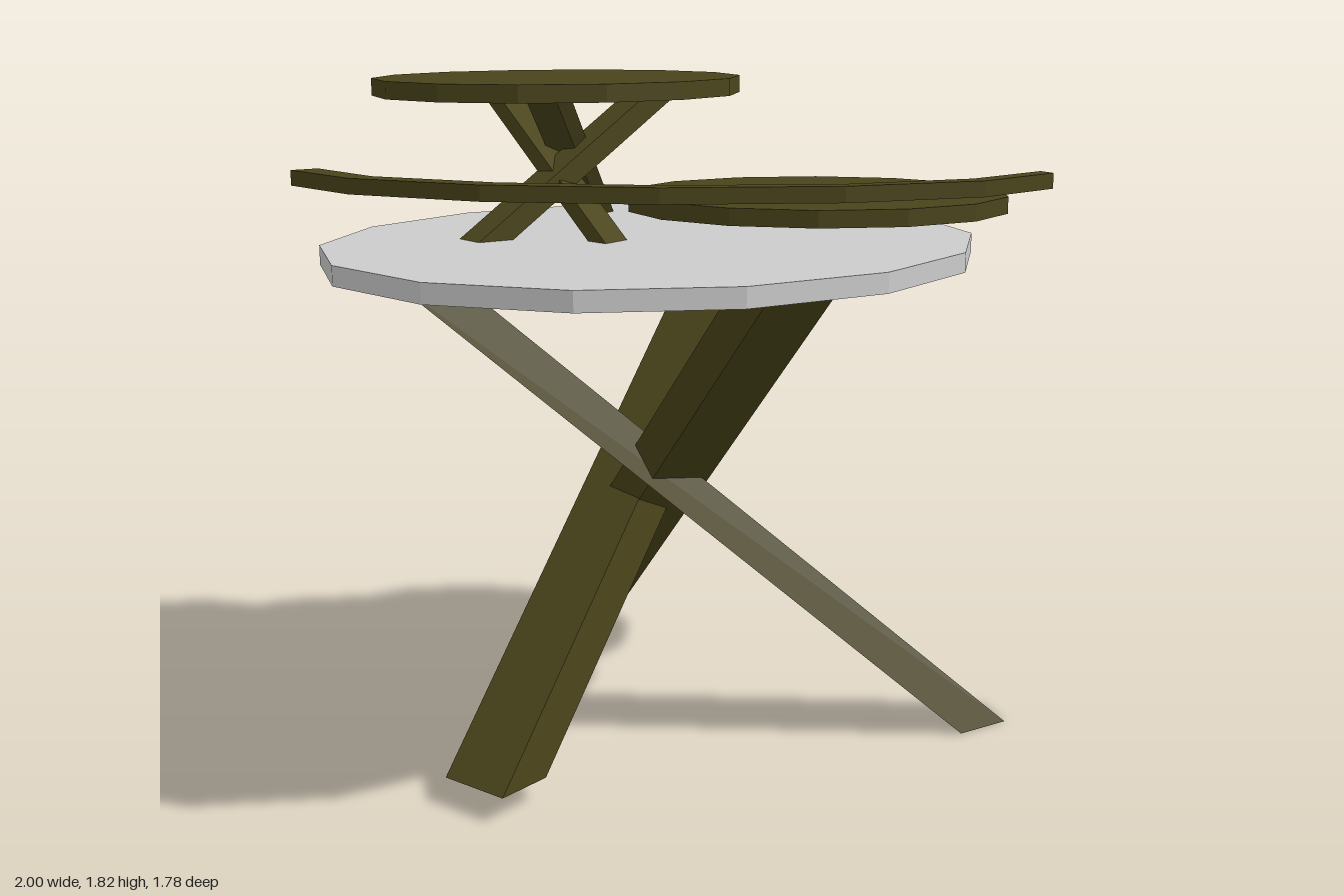
import * as THREE from 'three';
import { ConvexGeometry } from 'three/addons/geometries/ConvexGeometry.js';

const grey = new THREE.MeshStandardMaterial({ color: 0xcccccc, flatShading: true });
const olive = new THREE.MeshStandardMaterial({ color: 0x4a441b, flatShading: true });

function addMesh(parent, name, geometry, material) {
  const mesh = new THREE.Mesh(geometry, material);
  mesh.name = name;
  parent.add(mesh);
}

// Flat slab from an [x, z] outline, between heights y0 and y1
function slab(outline, y0, y1) {
  const shape = new THREE.Shape(outline.map(([x, z]) => new THREE.Vector2(x, -z)));
  const geometry = new THREE.ExtrudeGeometry(shape, { depth: y1 - y0, bevelEnabled: false });
  return geometry.rotateX(-Math.PI / 2).translate(0, y0, 0);
}

// Fourteen-sided oval outline: centre + a cos t + b sin t
function oval(c, a, b, sides = 14) {
  return Array.from({ length: sides }, (_, i) => {
    const t = (i / sides) * Math.PI * 2;
    return [0, 1].map((k) => c[k] + a[k] * Math.cos(t) + b[k] * Math.sin(t));
  });
}

// Slanted beam cut level at both ends; section lists [dx, dz] corners
function beam(bottom, top, section) {
  const points = [bottom, top].flatMap(([x, y, z]) =>
    section.map(([dx, dz]) => new THREE.Vector3(x + dx, y, z + dz)));
  return new ConvexGeometry(points);
}

// Section as a parallelogram from two neighbouring corners
const section = (p, q) => [p, q, [-p[0], -p[1]], [-q[0], -q[1]]];

export function createModel() {
  const model = new THREE.Group();
  model.name = 'table';

  // Main top
  addMesh(model, 'tableTop', slab(oval([-0.14, -0.07], [0, 0.8], [0.88, 0]), 1.36, 1.41), grey);

  // Three crossing legs
  const legs = new THREE.Group();
  legs.name = 'legs';
  model.add(legs);
  addMesh(legs, 'frontLeg',
    beam([0.645, 0, 0.41], [-0.66, 1.36, -0.45], section([-0.11, 0.05], [0.05, 0.08])), olive);
  addMesh(legs, 'rightLeg',
    beam([-0.682, 0.07, -0.09], [0.485, 1.36, -0.345], section([0.092, 0.09], [-0.065, 0.112])), olive);
  addMesh(legs, 'backLeg',
    beam([0.08, 0.05, -0.795], [-0.248, 1.36, 0.51], section([-0.082, -0.095], [0.082, -0.035])), olive);

  // Raised disc on its small tripod
  addMesh(model, 'upperDisc', slab(oval([-0.18, -0.395], [0.045, 0.435], [0.485, 0]), 1.77, 1.815), olive);
  const struts = new THREE.Group();
  struts.name = 'struts';
  model.add(struts);
  addMesh(struts, 'leftStrut',
    beam([0.14, 1.41, -0.635], [-0.37, 1.78, -0.21], section([-0.05, -0.03], [0.025, -0.06])), olive);
  addMesh(struts, 'rightStrut',
    beam([-0.455, 1.41, -0.365], [0.07, 1.78, -0.28], section([0.055, -0.04], [-0.045, -0.055])), olive);
  addMesh(struts, 'frontStrut',
    beam([-0.245, 1.41, -0.13], [-0.2, 1.78, -0.64], section([-0.045, 0.045], [0.045, 0.025])), olive);

  // Lower side disc
  addMesh(model, 'sideDisc', slab(oval([0.505, -0.09], [0.085, 0.5], [0.487, 0.005]), 1.435, 1.482), olive);

  // Curved rail
  const outer = [[-0.99, -0.42], [-1, -0.16], [-0.875, 0.17], [-0.63, 0.49], [-0.315, 0.75], [0, 0.89], [0.26, 0.888]];
  const inner = [[-0.92, -0.41], [-0.935, -0.16], [-0.815, 0.15], [-0.585, 0.46], [-0.28, 0.715], [0.02, 0.84], [0.275, 0.84]];
  addMesh(model, 'curvedRail', slab([...outer, ...inner.reverse()], 1.583, 1.62), olive);

  return model;
}
